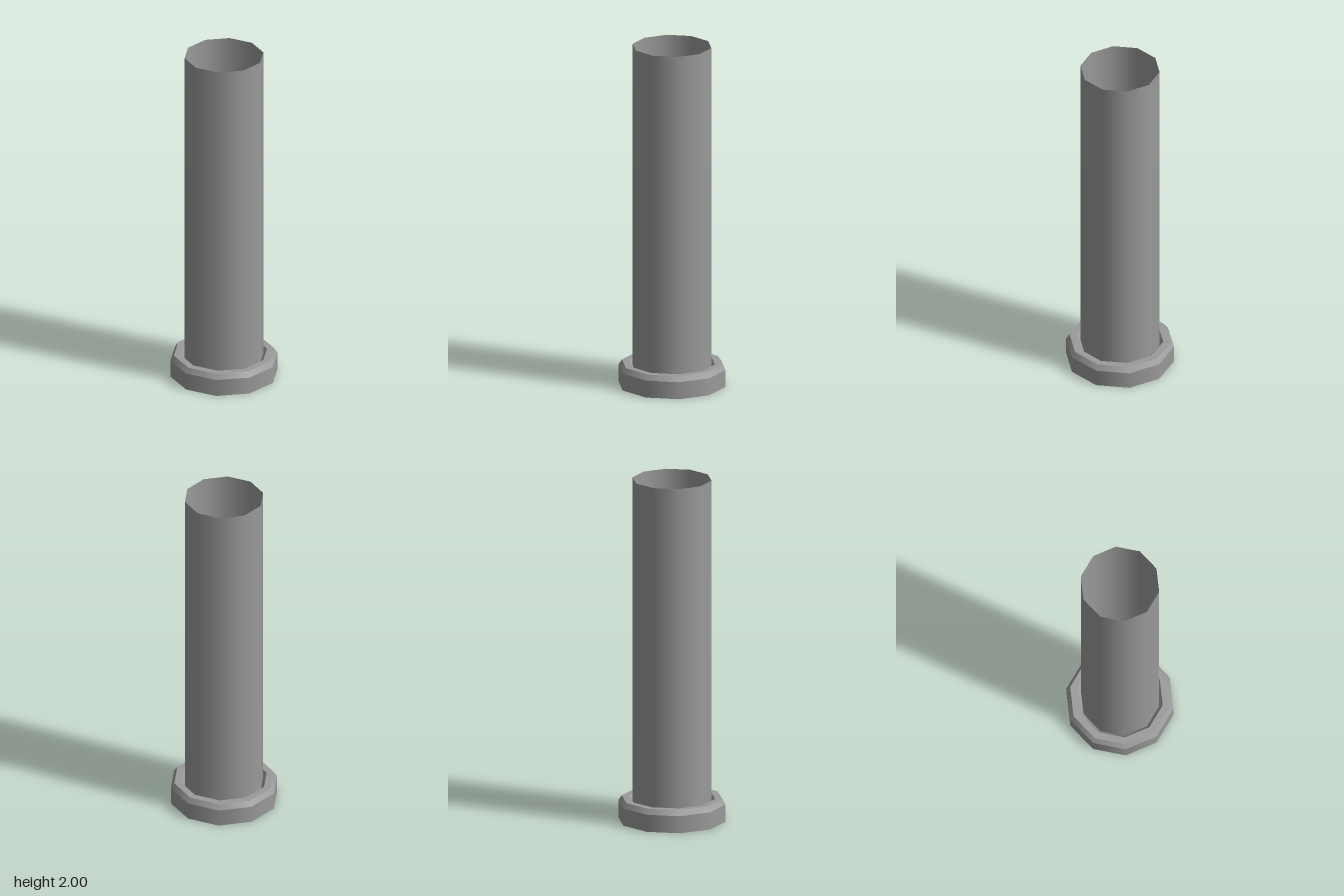
import * as THREE from 'three';

const SIDES = 10;

export function createModel() {
  const model = new THREE.Group();
  const material = new THREE.MeshStandardMaterial({ color: 0x9b9b9b, side: THREE.DoubleSide });

  // One ten-sided band between two [radius, height] points: smooth around, sharp at its rims
  function band(name, from, to, parent) {
    const points = [from, to].map(([r, y]) => new THREE.Vector2(r, y));
    const geometry = new THREE.LatheGeometry(points, SIDES, Math.PI / 2);
    geometry.normalizeNormals(); // even shading along the band
    const mesh = new THREE.Mesh(geometry, material);
    mesh.name = name;
    parent.add(mesh);
  }

  // Base collar: outer wall, chamfer, flat top and inner slope, open underneath
  const collar = new THREE.Group();
  collar.name = 'baseCollar';
  model.add(collar);
  const profile = [[0.309, 0], [0.309, 0.1], [0.289, 0.13], [0.248, 0.13], [0.227, 0.1]];
  const names = ['collarWall', 'collarChamfer', 'collarTop', 'collarInnerSlope'];
  names.forEach((name, i) => band(name, profile[i], profile[i + 1], collar));

  // Open tube rising from the inner edge of the collar
  band('tube', [0.227, 0.1], [0.227, 2], model);

  return model;
}
